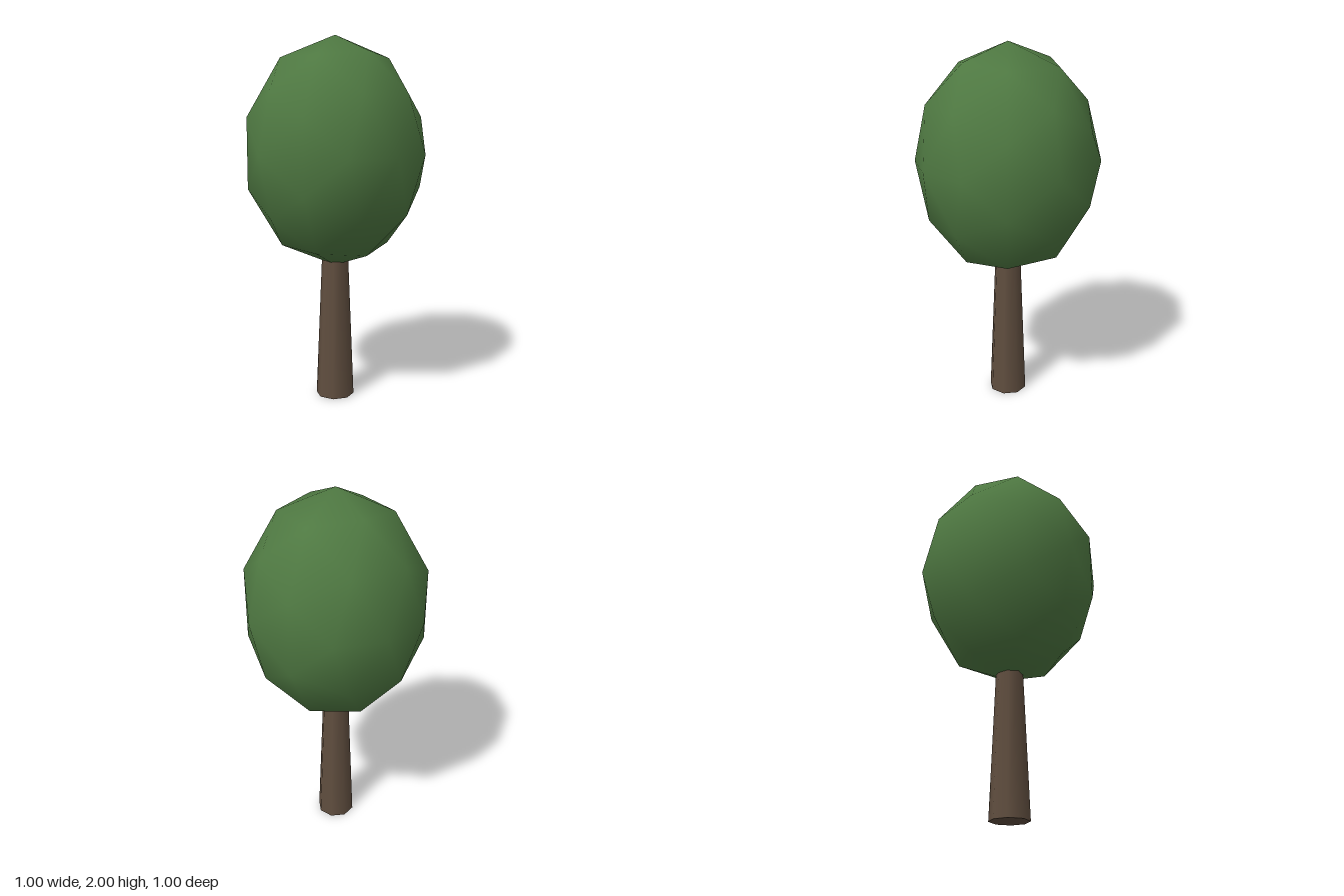
import * as THREE from 'three';

export function createModel() {
  const tree = new THREE.Group();
  tree.name = 'tree';

  const bark = new THREE.MeshStandardMaterial({ color: 0x604e3f });
  bark.name = 'bark brown';
  const leaves = new THREE.MeshStandardMaterial({ color: 0x4f7942 });
  leaves.name = 'leaf green';

  // Tapered eight-sided trunk, its top hidden inside the crown
  const trunkHeight = 0.85;
  const trunk = new THREE.Mesh(new THREE.CylinderGeometry(0.071, 0.106, trunkHeight, 8), bark);
  trunk.name = 'trunk';
  trunk.position.y = trunkHeight / 2;

  // Egg-shaped crown: a once-divided icosahedron with smooth normals, stretched upward
  const crownGeometry = new THREE.IcosahedronGeometry(0.5, 1);
  crownGeometry.scale(1, 1.25, 1);
  const crown = new THREE.Mesh(crownGeometry, leaves);
  crown.name = 'crown';
  crown.position.y = 1.375;

  tree.add(trunk, crown);
  return tree;
}
